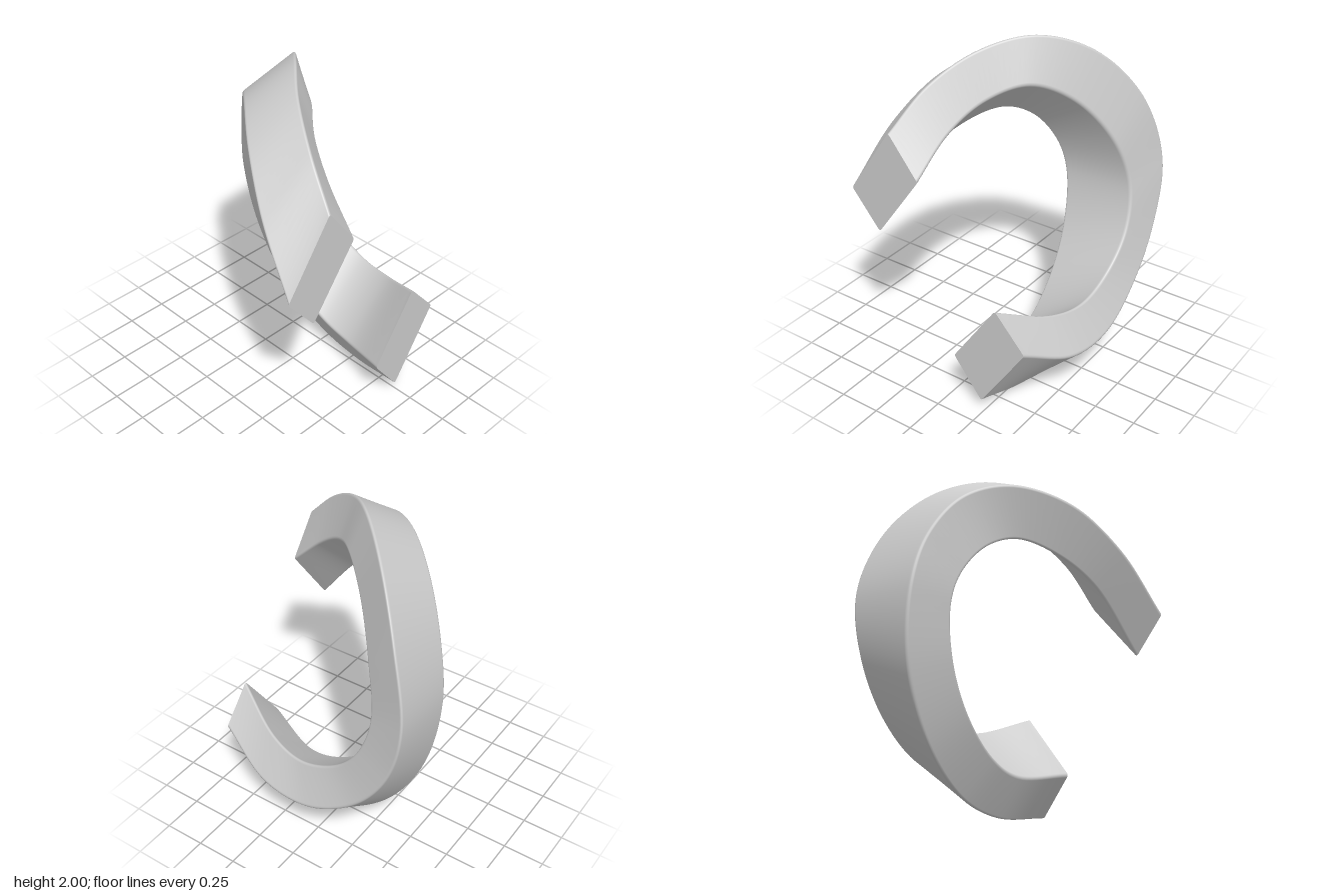
import * as THREE from 'three';

// Stations along the bar, from the upper end round to the lower end.
// Each rail is one long edge of the four-sided bar.
const rails = [
  // outer back edge
  [[.63, 1.57, .365], [.4, 1.79, .27], [.15, 1.945, .11], [-.08, 2.003, -.1], [-.32, 1.89, -.33], [-.53, 1.595, -.525],
    [-.645, 1.17, -.62], [-.565, .8, -.635], [-.35, .5, -.645], [-.03, .325, -.657], [.3, .335, -.632], [.643, .5, -.522]],
  // outer front edge
  [[.63, 1.155, .655], [.35, 1.485, .57], [.08, 1.73, .41], [-.2, 1.815, .18], [-.42, 1.71, -.01], [-.58, 1.43, -.14],
    [-.645, 1.07, -.2], [-.575, .63, -.25], [-.36, .262, -.28], [-.05, .043, -.3], [.27, -.01, -.287], [.643, .06, -.23]],
  // inner front edge
  [[.63, .93, .47], [.33, 1.285, .39], [.12, 1.44, .28], [-.09, 1.508, .14], [-.25, 1.43, .04], [-.37, 1.24, -.05],
    [-.4, 1.04, -.1], [-.335, .72, -.13], [-.17, .455, -.15], [.08, .275, -.167], [.3, .226, -.157], [.643, .3, -.045]],
  // inner back edge
  [[.63, 1.33, .177], [.4, 1.545, .13], [.2, 1.685, .03], [.02, 1.747, -.13], [-.17, 1.63, -.3], [-.33, 1.37, -.46],
    [-.4, 1.08, -.54], [-.33, .83, -.57], [-.17, .648, -.565], [.08, .543, -.545], [.32, .57, -.485], [.643, .715, -.33]],
].map(pts => new THREE.CatmullRomCurve3(pts.map(p => new THREE.Vector3(...p)), false, 'centripetal'));

const STEPS = 110, ARC = 4, RADIUS = 0.018;

// Four-sided cross-section with softly rounded corners
function section(t) {
  const c = rails.map(r => r.getPoint(t));
  const toward = (a, b) => a.clone().add(b.clone().sub(a).setLength(RADIUS));
  return c.flatMap((p, i) => {
    const bend = new THREE.QuadraticBezierCurve3(toward(p, c[(i + 3) % 4]), p, toward(p, c[(i + 1) % 4]));
    return bend.getPoints(ARC);
  });
}

function geometryFrom(points, index) {
  const g = new THREE.BufferGeometry().setFromPoints(points);
  g.setIndex(index);
  g.computeVertexNormals();
  return g;
}

function endCap(ring, flip) {
  const index = [];
  for (let j = 1; j < ring.length - 1; j++) index.push(0, ...(flip ? [j + 1, j] : [j, j + 1]));
  return geometryFrom(ring, index);
}

export function createModel() {
  const group = new THREE.Group();
  const material = new THREE.MeshStandardMaterial({ color: 0xcccccc });
  const add = (geometry, name) => {
    const mesh = new THREE.Mesh(geometry, material);
    mesh.name = name;
    group.add(mesh);
  };

  // Twisting open ring lofted through the sections
  const rings = Array.from({ length: STEPS + 1 }, (_, i) => section(i / STEPS));
  const n = rings[0].length, index = [];
  for (let i = 0; i < STEPS; i++) {
    for (let j = 0; j < n; j++) {
      const a = i * n + j, b = i * n + (j + 1) % n;
      index.push(a, a + n, b, b, a + n, b + n);
    }
  }
  add(geometryFrom(rings.flat(), index), 'openRingBar');

  // Flat ends
  add(endCap(rings[0], false), 'upperEnd');
  add(endCap(rings[STEPS], true), 'lowerEnd');
  return group;
}
